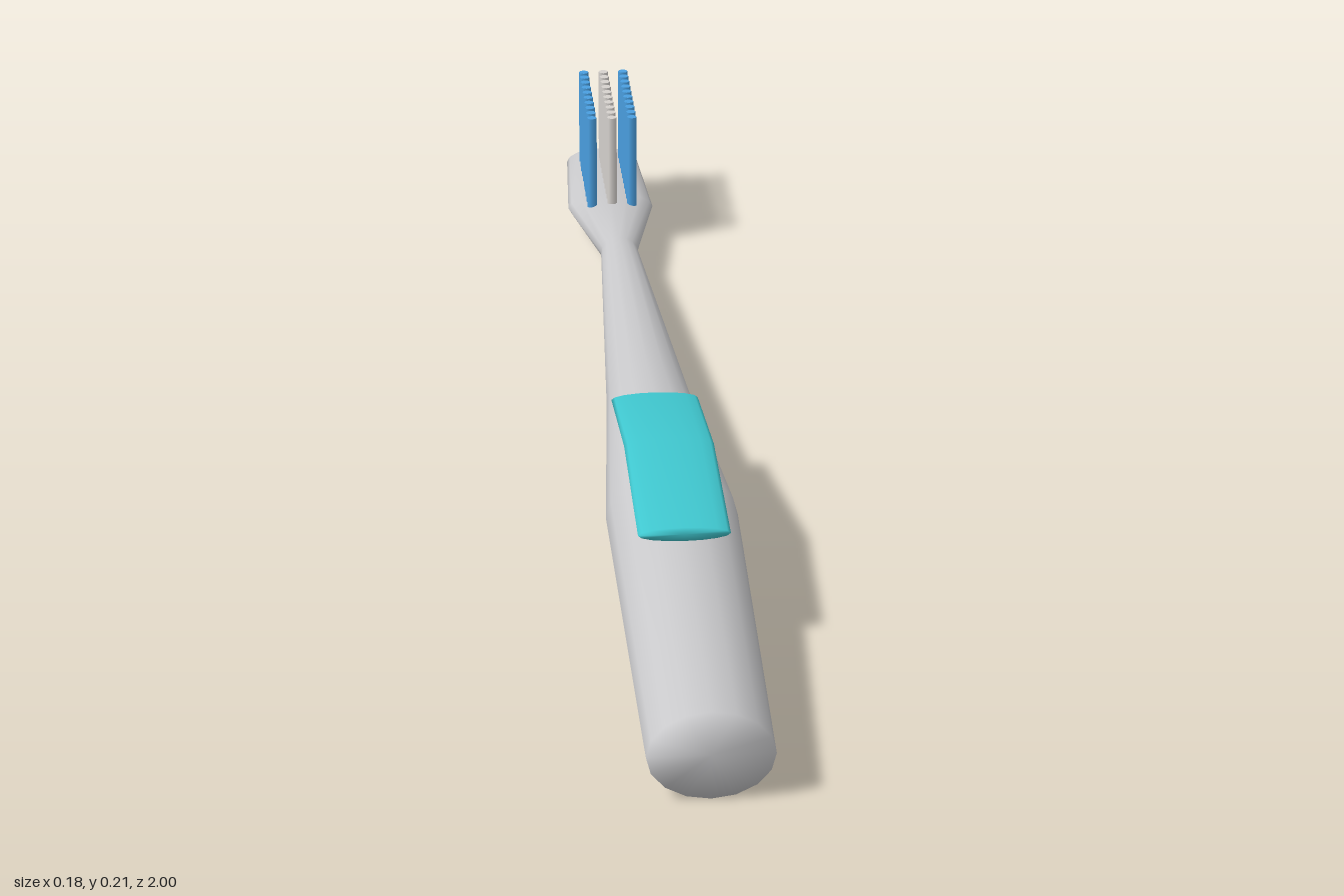
import * as THREE from 'three';

// Smooth elliptical loft along z; each section is [z, halfWidth, yBottom, yTop], front to back.
function loft(sections, sides) {
  const pos = [], idx = [];
  for (const [z, hw, y0, y1] of sections) {
    for (let i = 0; i < sides; i++) {
      const a = (i / sides) * Math.PI * 2 + Math.PI / 2;
      pos.push(Math.cos(a) * hw, (y0 + y1) / 2 + Math.sin(a) * (y1 - y0) / 2, z);
    }
  }
  for (let r = 0; r < sections.length - 1; r++) {
    for (let i = 0; i < sides; i++) {
      const j = (i + 1) % sides, a = r * sides, b = a + sides;
      idx.push(a + i, b + i, a + j, a + j, b + i, b + j);
    }
  }
  // end caps share the rim so the shading rolls over the edge
  const last = (sections.length - 1) * sides;
  for (const [s, start, front] of [[sections[0], 0, true], [sections.at(-1), last, false]]) {
    const c = pos.length / 3;
    pos.push(0, (s[2] + s[3]) / 2, s[0]);
    for (let i = 0; i < sides; i++) {
      const p = start + i, q = start + (i + 1) % sides;
      idx.push(c, front ? p : q, front ? q : p);
    }
  }
  const g = new THREE.BufferGeometry();
  g.setAttribute('position', new THREE.Float32BufferAttribute(pos, 3));
  g.setIndex(idx);
  g.computeVertexNormals();
  return g;
}

export function createModel() {
  const mat = (name, color) => new THREE.MeshStandardMaterial({ name, color });
  const handleGrey = mat('handleGrey', 0xc8c8ca);
  const gripTeal = mat('gripTeal', 0x40c8d0);
  const bristleBlue = mat('bristleBlue', 0x4a9fe0);
  const bristleWhite = mat('bristleWhite', 0xd6d2ce);

  const model = new THREE.Group();
  model.name = 'toothbrush';
  const add = (parent, name, geo, material) => {
    const m = new THREE.Mesh(geo, material);
    m.name = name;
    parent.add(m);
    return m;
  };

  // Handle, neck and head in one tapered body
  add(model, 'handle', loft([
    [1, 0.08, 0, 0.12],
    [0.4, 0.088, 0.025, 0.156],
    [0, 0.06, 0.026, 0.121],
    [-0.6, 0.028, 0.03, 0.075],
    [-0.8, 0.066, 0.021, 0.066],
    [-1, 0.056, 0.02, 0.064],
  ], 16), handleGrey);

  // Thumb grip bent over the thickest part of the handle
  add(model, 'thumbGrip', loft([
    [0.6, 0.06, 0.153, 0.172],
    [0.35, 0.06, 0.162, 0.182],
    [0.1, 0.06, 0.116, 0.135],
  ], 16), gripTeal);

  // Three columns of bristle tufts
  const bristles = new THREE.Group();
  bristles.name = 'bristles';
  model.add(bristles);
  const tuft = new THREE.CylinderGeometry(0.0075, 0.0075, 0.16, 8);
  for (const x of [-0.031, 0, 0.031]) {
    for (let i = 0; i < 10; i++) {
      const t = add(bristles, 'tuft', tuft, x === 0 ? bristleWhite : bristleBlue);
      t.position.set(x, 0.13, -0.76 - i * 0.0222);
    }
  }
  return model;
}
